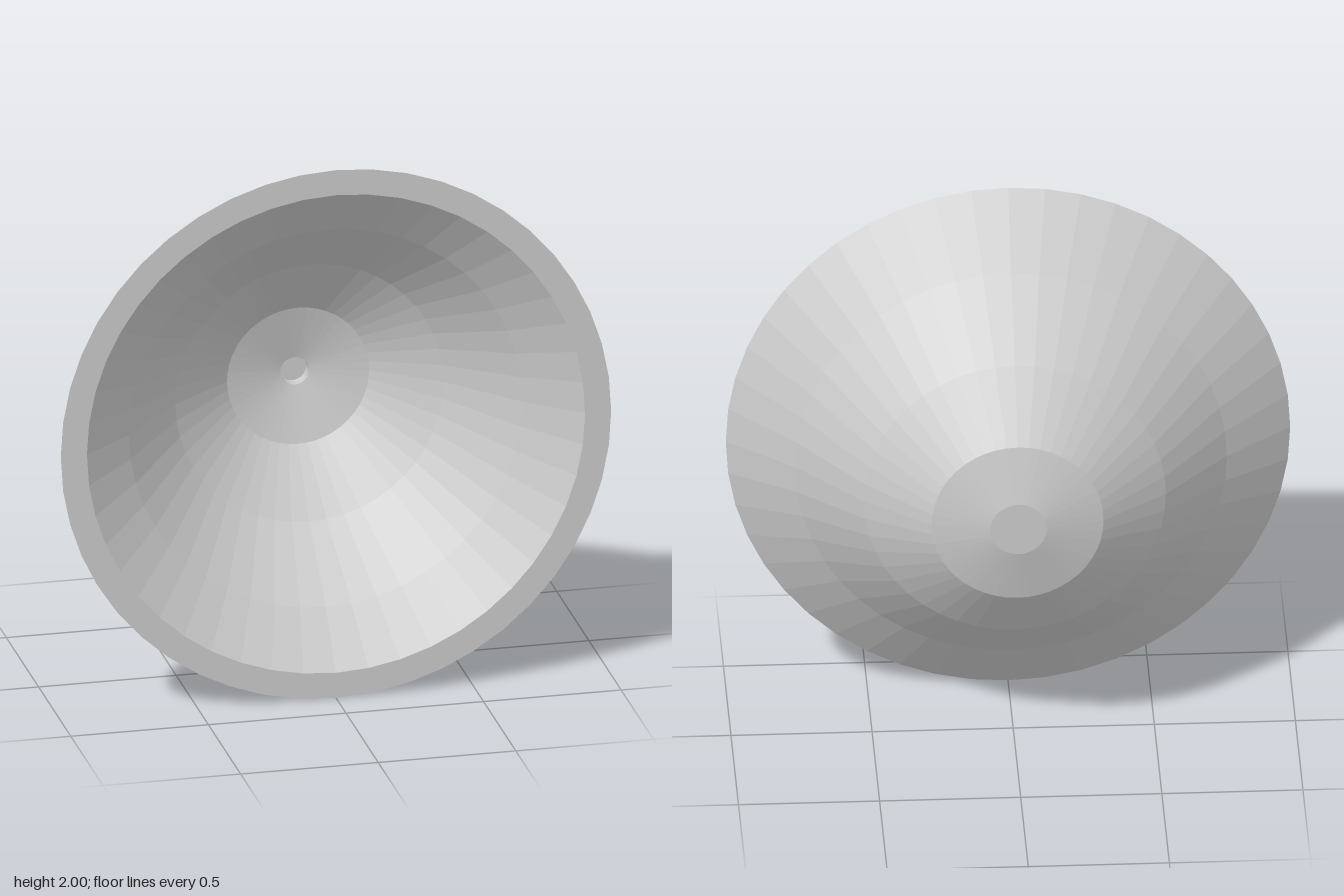
import * as THREE from 'three';

const SEGMENTS = 48;
const material = new THREE.MeshStandardMaterial({ color: 0xcccccc, flatShading: true });

// Turned surface from [radius, z] points, listed so that the visible side faces out
function turned(name, profile) {
  const points = profile.map(([r, z]) => new THREE.Vector2(r, z));
  const geometry = new THREE.LatheGeometry(points, SEGMENTS);
  geometry.rotateX(Math.PI / 2); // axis along z
  geometry.translate(0, 1, 0);
  const mesh = new THREE.Mesh(geometry, material);
  mesh.name = name;
  return mesh;
}

export function createModel() {
  const dish = new THREE.Group();
  dish.name = 'dish';

  // Back of the dish, from the small flat centre out to the rim
  dish.add(turned('outerShell', [
    [0, -0.345], [0.1, -0.345], [0.305, -0.295], [0.535, -0.115], [0.765, 0.145], [1, 0.345],
  ]));

  // Flat front ring
  dish.add(turned('rim', [[1, 0.345], [0.905, 0.345]]));

  // Hollow front, from the rim down to the centre hole
  dish.add(turned('innerBowl', [
    [0.905, 0.345], [0.715, 0.185], [0.487, -0.07], [0.258, -0.245], [0.052, -0.295],
  ]));

  // Small round recess in the middle of the bowl
  dish.add(turned('centreRecess', [[0.052, -0.295], [0.052, -0.34], [0, -0.34]]));

  return dish;
}
